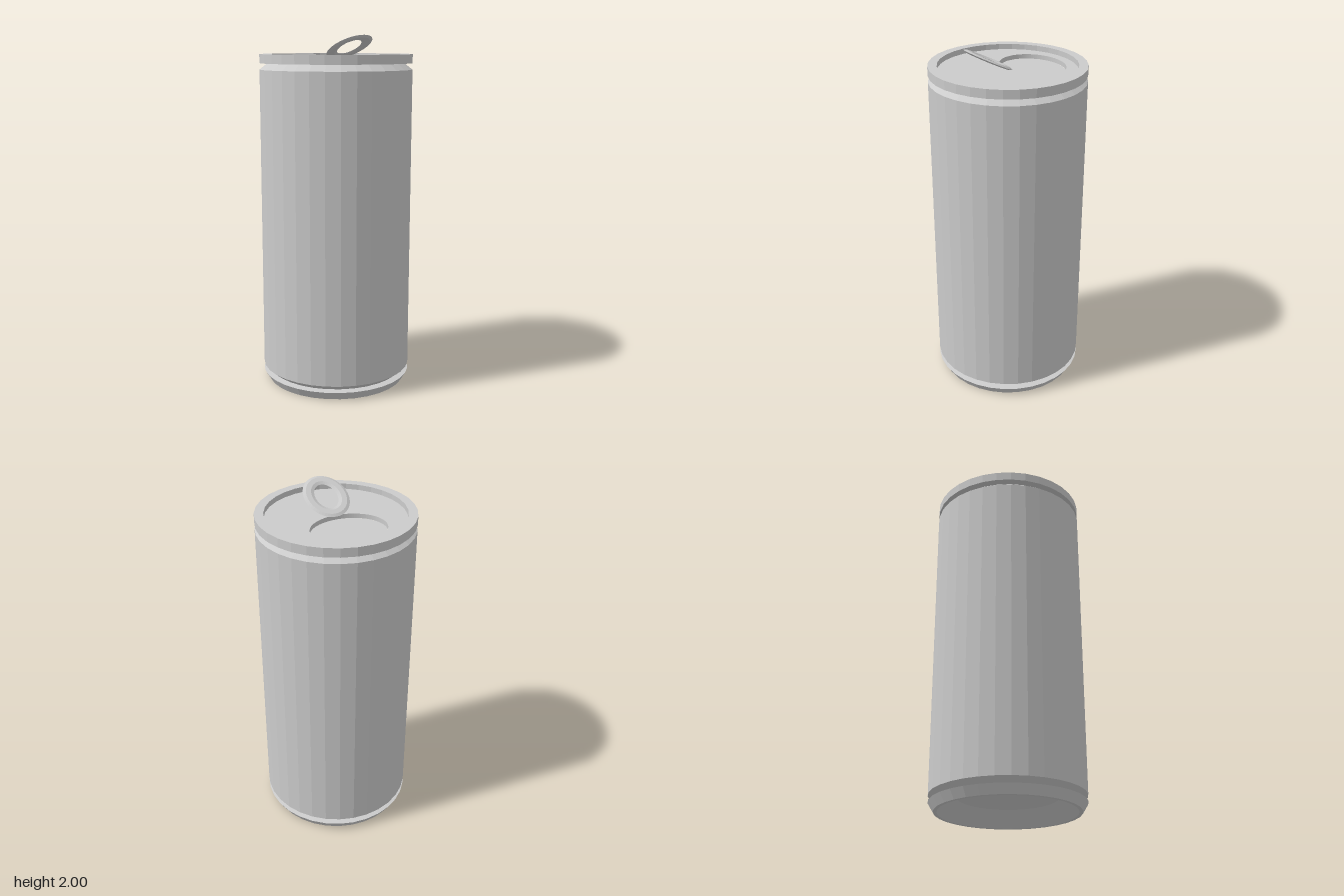
import * as THREE from 'three';

const SIDES = 32;

export function createModel() {
  const can = new THREE.Group();
  can.name = 'drinkCan';
  const metal = new THREE.MeshStandardMaterial({ color: 0xcccccc, flatShading: true });

  const add = (name, geometry) => {
    const mesh = new THREE.Mesh(geometry, metal);
    mesh.name = name;
    can.add(mesh);
    return mesh;
  };
  const lathe = (points, sides = SIDES) =>
    new THREE.LatheGeometry(points.map(([r, y]) => new THREE.Vector2(r, y)), sides);

  // Domed underside, running from the centre out to the foot
  add('underside', lathe([[0, 0.15], [0.155, 0.15], [0.28, 0.085], [0.38, 0]]));

  // Flared foot with a groove above it
  add('foot', lathe([[0.38, 0], [0.4, 0], [0.43, 0.05], [0.39, 0.055]]));

  // Straight wall, chamfered at both ends
  add('body', lathe([[0.39, 0.055], [0.43, 0.087], [0.43, 1.81], [0.385, 1.845]]));

  // Rim standing proud around the sunken lid
  const lidY = 1.865;
  add('rim', lathe([[0.385, 1.845], [0.43, 1.845], [0.43, 1.895], [0.38, 1.895], [0.38, lidY]]));

  // Lid plate with an oval cut-out
  const depth = 0.025;
  const plate = new THREE.Shape();
  for (let i = 0; i < SIDES; i++) {
    const a = (i / SIDES) * Math.PI * 2;
    plate[i ? 'lineTo' : 'moveTo'](0.38 * Math.cos(a), 0.38 * Math.sin(a));
  }
  plate.closePath();
  const oval = new THREE.Path();
  oval.absellipse(0, 0.155, 0.207, 0.173, 0, Math.PI * 2, true);
  plate.holes.push(oval);
  const lid = new THREE.ExtrudeGeometry(plate, { depth, bevelEnabled: false, curveSegments: 48 });
  lid.rotateX(-Math.PI / 2);
  add('lid', lid).position.y = lidY - depth;

  // Floor of the pressed oval
  const floor = new THREE.CircleGeometry(1, 48);
  floor.scale(0.207, 0.173, 1);
  floor.rotateX(-Math.PI / 2);
  add('openingPanel', floor).position.set(0, lidY - depth, -0.155);

  // Pull ring: thin bevelled ring, stretched lengthwise at constant width, tilted up
  const ring = lathe([
    [0.062, 0], [0.08, -0.007], [0.108, -0.007], [0.124, 0],
    [0.108, 0.007], [0.08, 0.007], [0.062, 0],
  ], 48);
  const pos = ring.attributes.position;
  for (let i = 0; i < pos.count; i++) {
    const x = pos.getX(i), z = pos.getZ(i);
    pos.setZ(i, z + (0.021 * z) / Math.hypot(x, z));
  }
  ring.computeVertexNormals();
  const tab = add('pullRing', ring);
  tab.position.set(0, 1.934, 0.12);
  tab.rotation.x = -0.46;

  return can;
}
